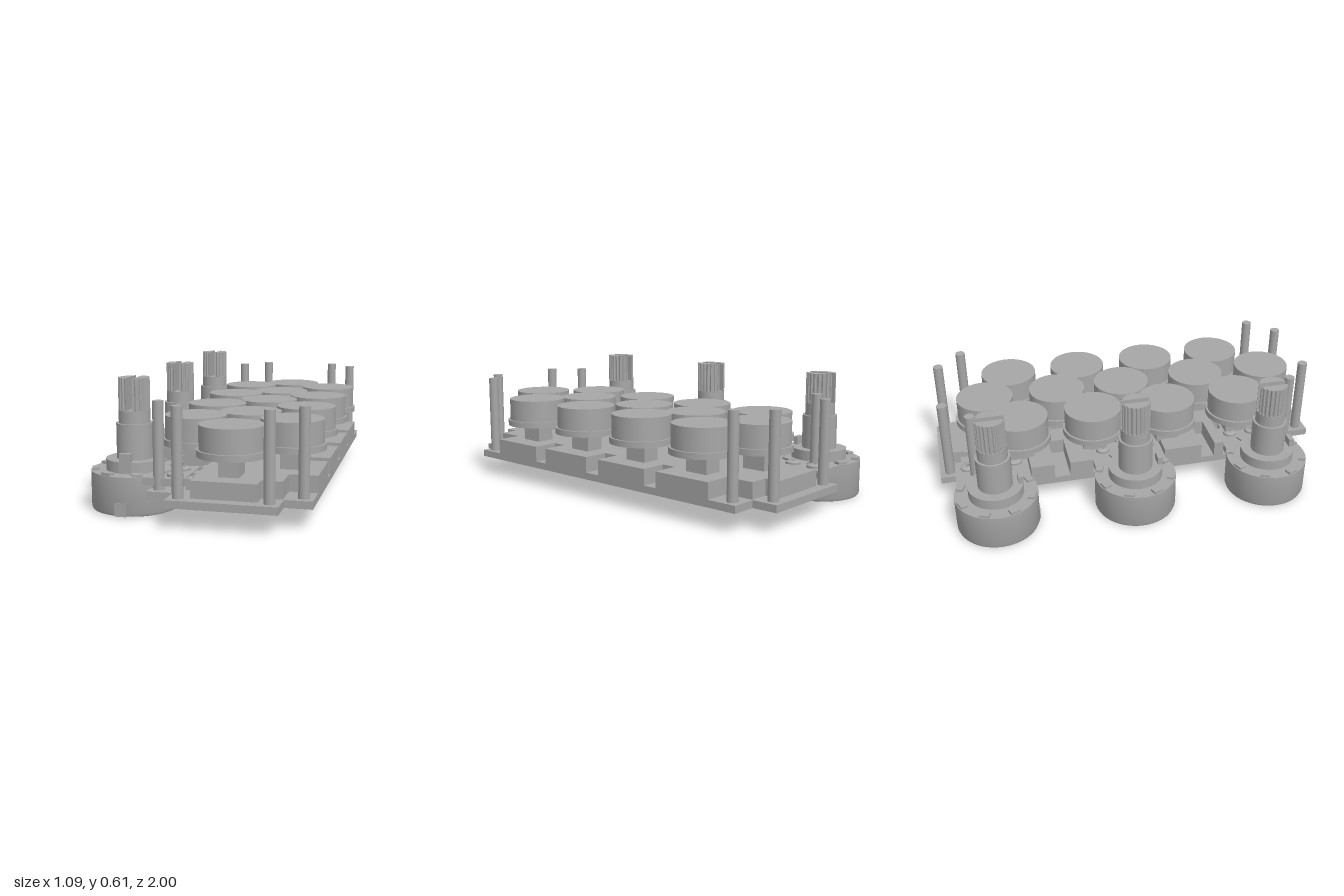
import * as THREE from 'three';
import { toCreasedNormals } from 'three/addons/utils/BufferGeometryUtils.js';

const grey = new THREE.MeshStandardMaterial({ color: 0xa6a6a6 });
grey.name = 'plain grey';

function add(parent, name, geometry, x = 0, y = 0, z = 0) {
  const mesh = new THREE.Mesh(geometry, grey);
  mesh.name = name;
  mesh.position.set(x, y, z);
  parent.add(mesh);
  return mesh;
}

// Box given by its limits on each axis
function block(parent, name, x0, x1, y0, y1, z0, z1) {
  return add(parent, name, new THREE.BoxGeometry(x1 - x0, y1 - y0, z1 - z0),
    (x0 + x1) / 2, (y0 + y1) / 2, (z0 + z1) / 2);
}

// Upright cylinder between two heights
function disc(parent, name, r, y0, y1, x, z, sides = 48) {
  return add(parent, name, new THREE.CylinderGeometry(r, r, y1 - y0, sides), x, (y0 + y1) / 2, z);
}

// Flat shape in the x/z plane, extruded upwards
function slab(parent, name, points, y0, y1) {
  const shape = new THREE.Shape(points.map(([x, z]) => new THREE.Vector2(x, -z)));
  const geo = new THREE.ExtrudeGeometry(shape, { depth: y1 - y0, bevelEnabled: false });
  geo.rotateX(-Math.PI / 2);
  return add(parent, name, geo, 0, y0, 0);
}

function makePot() {
  const pot = new THREE.Group();
  pot.name = 'potentiometer';
  // Metal can with rounded lower edge
  const profile = [[0, 0], [0.19, 0], [0.2, 0.004], [0.205, 0.015], [0.205, 0.183], [0, 0.183]]
    .map(([r, y]) => new THREE.Vector2(r, y));
  add(pot, 'can', toCreasedNormals(new THREE.LatheGeometry(profile, 48), 0.6));
  disc(pot, 'collar', 0.135, 0.183, 0.235, 0, 0);
  disc(pot, 'bushing', 0.085, 0.235, 0.4, 0, 0);
  disc(pot, 'shaft', 0.073, 0.4, 0.46, 0, 0);

  // Knurled shaft end, split by a slot
  const halfSlot = 0.016;
  for (const side of [1, -1]) {
    const pts = [];
    const limit = Math.acos(halfSlot / 0.073);
    const steps = 36;
    for (let i = 0; i <= steps; i++) {
      const a = -limit + (2 * limit * i) / steps;
      const r = i % 4 < 2 ? 0.073 : 0.067;
      pts.push([side * Math.max(halfSlot, r * Math.cos(a)), r * Math.sin(a)]);
    }
    slab(pot, 'knurledTip', pts, 0.46, 0.61);
  }

  // Bent rim tabs, locating tab and foot
  for (let i = 0; i < 8; i++) {
    const a = ((i + 0.5) * Math.PI) / 4;
    const tab = add(pot, 'rimTab', new THREE.BoxGeometry(0.035, 0.02, 0.05),
      0.182 * Math.cos(a), 0.185, 0.182 * Math.sin(a));
    tab.rotation.y = -a;
  }
  block(pot, 'locatingTab', -0.028, 0.028, 0.183, 0.275, 0.11, 0.135);
  block(pot, 'foot', -0.027, 0.027, 0.002, 0.065, 0.19, 0.207);

  // Terminal board with three eyelets
  block(pot, 'terminalBoard', 0.1, 0.29, 0.15, 0.185, -0.185, 0.185);
  const eyelet = [[0.012, 0.185], [0.036, 0.185], [0.036, 0.197], [0.022, 0.203], [0.012, 0.203], [0.012, 0.185]]
    .map(([r, y]) => new THREE.Vector2(r, y));
  for (const z of [-0.12, 0, 0.12]) {
    add(pot, 'eyelet', toCreasedNormals(new THREE.LatheGeometry(eyelet, 24), 0.5), 0.232, 0, z);
    block(pot, 'terminalLeg', 0.29, 0.345, 0.13, 0.18, z - 0.03, z + 0.03);
  }
  return pot;
}

function makeButton(x, z) {
  const button = new THREE.Group();
  button.name = 'button';
  block(button, 'stem', -0.046, 0.046, 0.2, 0.295, -0.06, 0.06);
  disc(button, 'flange', 0.157, 0.295, 0.325, 0, 0);
  disc(button, 'cap', 0.146, 0.325, 0.435, 0, 0);
  button.position.set(x, 0, z);
  return button;
}

export function createModel() {
  const model = new THREE.Group();
  model.name = 'controlPanel';

  // Base plate with a narrower tab at both ends
  slab(model, 'basePlate', [
    [-0.215, -0.875], [-0.09, -0.875], [-0.09, -1], [0.405, -1], [0.405, -0.875], [0.53, -0.875],
    [0.53, 0.875], [0.405, 0.875], [0.405, 1], [-0.09, 1], [-0.09, 0.875], [-0.215, 0.875],
  ], 0.095, 0.13);

  // Raised deck: core, end blocks and notched edges
  block(model, 'deckCore', 0, 0.4, 0.13, 0.208, -0.87, 0.87);
  for (const s of [-1, 1]) {
    block(model, 'deckEnd', 0.01, 0.305, 0.13, 0.208, s * 0.907 - 0.038, s * 0.907 + 0.038);
  }
  for (const z of [-0.575, -0.195, 0.195, 0.575]) {
    block(model, 'deckRightEdge', 0.4, 0.53, 0.13, 0.208, z - 0.153, z + 0.153);
  }
  for (const [z0, z1] of [[-0.55, -0.43], [-0.35, -0.23], [0.15, 0.35], [0.42, 0.47]]) {
    block(model, 'deckLeftEdge', -0.215, 0, 0.13, 0.208, z0, z1);
  }

  // Three staggered columns of buttons
  for (const z of [-0.58, -0.2, 0.19, 0.573]) {
    model.add(makeButton(-0.07, z), makeButton(0.386, z));
  }
  for (const z of [-0.73, -0.35, 0, 0.415, 0.795]) model.add(makeButton(0.157, z));
  disc(model, 'centreWasher', 0.16, 0.255, 0.285, 0.157, 0);

  // Corner pins
  for (const s of [-1, 1]) {
    for (const [x, z] of [[-0.17, 0.825], [-0.043, 0.95], [0.358, 0.95], [0.483, 0.825]]) {
      disc(model, 'pin', 0.025, 0.13, 0.53, x, s * z, 20);
    }
  }

  // Rotary controls along the right-hand side
  for (const z of [-0.74, -0.04, 0.66]) {
    const pot = makePot();
    pot.position.set(-0.342, 0, z);
    model.add(pot);
  }
  return model;
}
